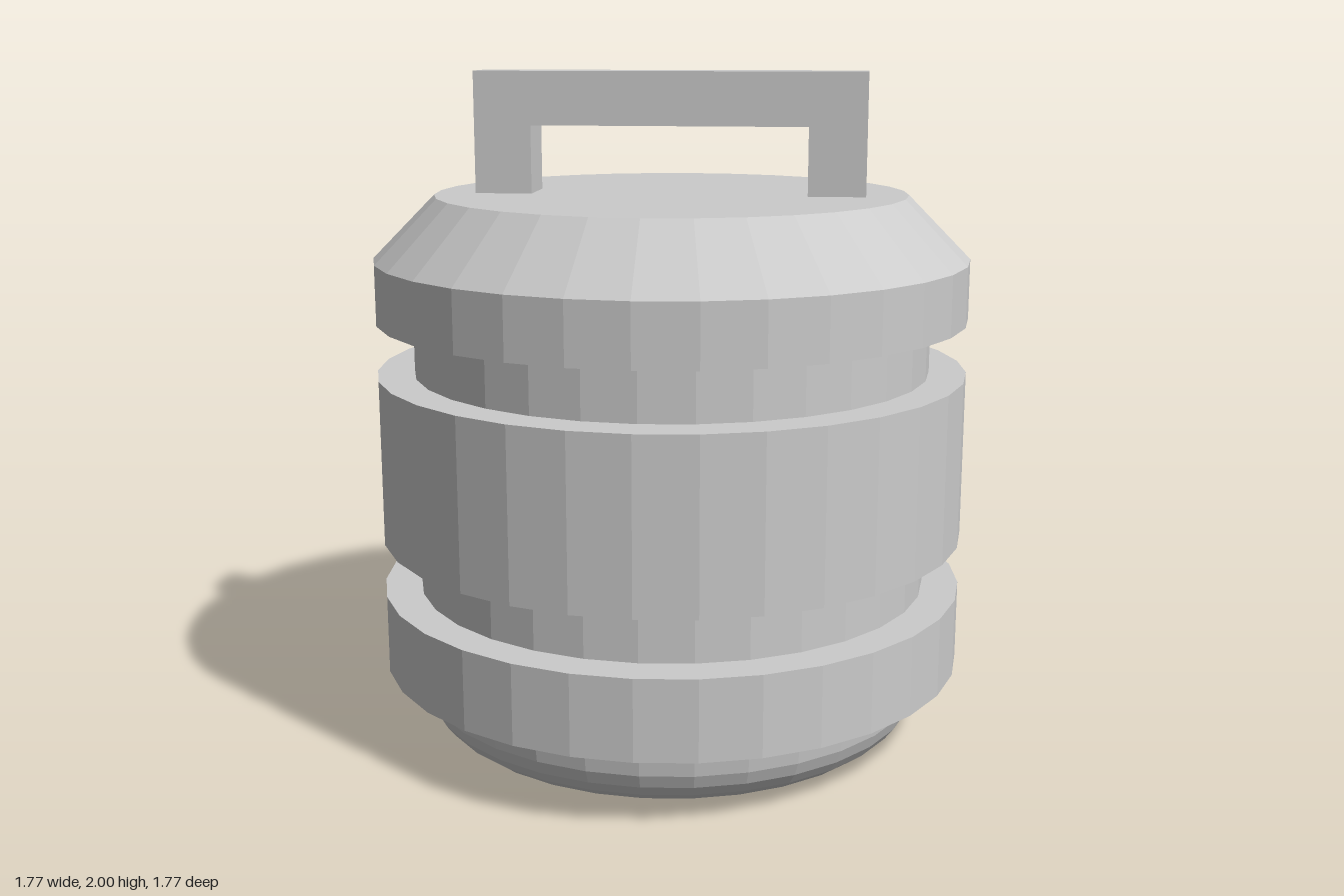
import * as THREE from 'three';

const SIDES = 32;
const CORE = 0.777; // radius of the recessed body
const BAND = 0.887; // radius of the raised bands
const material = new THREE.MeshStandardMaterial({ color: 0xcccccc, flatShading: true });

// Turns a bottom-to-top [radius, height] profile around the y axis.
function turned(name, profile) {
  const points = profile.map(([r, y]) => new THREE.Vector2(r, y));
  const mesh = new THREE.Mesh(new THREE.LatheGeometry(points, SIDES), material);
  mesh.name = name;
  return mesh;
}

// Raised band with its two ledges.
const band = (name, y0, y1) => turned(name, [[CORE, y0], [BAND, y0], [BAND, y1], [CORE, y1]]);

// Recessed groove between bands.
const groove = (name, y0, y1) => turned(name, [[CORE, y0], [CORE, y1]]);

export function createModel() {
  const group = new THREE.Group();
  group.name = 'canister';

  // Base with a rounded lower edge
  const fillet = 0.17, steps = 6;
  const base = [[0, 0]];
  for (let i = 0; i <= steps; i++) {
    const a = (i / steps) * Math.PI / 2;
    base.push([CORE - fillet + fillet * Math.sin(a), fillet - fillet * Math.cos(a)]);
  }
  base.push([CORE, 0.22]);
  group.add(turned('base', base));

  // Body bands and grooves
  group.add(
    band('lowerBand', 0.22, 0.457),
    groove('lowerGroove', 0.457, 0.62),
    band('middleBand', 0.62, 1.117),
    groove('upperGroove', 1.117, 1.28),
  );

  // Lid with a bevelled shoulder
  group.add(turned('lid', [[CORE, 1.28], [BAND, 1.28], [BAND, 1.457], [0.703, 1.643], [0, 1.643]]));

  // Square bridge handle
  const w = 0.577, inner = 0.408, foot = 1.643, under = 1.843, top = 2, depth = 0.166;
  const outline = new THREE.Shape([
    [-w, foot], [-inner, foot], [-inner, under], [inner, under],
    [inner, foot], [w, foot], [w, top], [-w, top],
  ].map(([x, y]) => new THREE.Vector2(x, y)));
  const handleGeometry = new THREE.ExtrudeGeometry(outline, { depth, bevelEnabled: false });
  handleGeometry.translate(0, 0, -depth / 2);
  const handle = new THREE.Mesh(handleGeometry, material);
  handle.name = 'handle';
  group.add(handle);

  return group;
}
